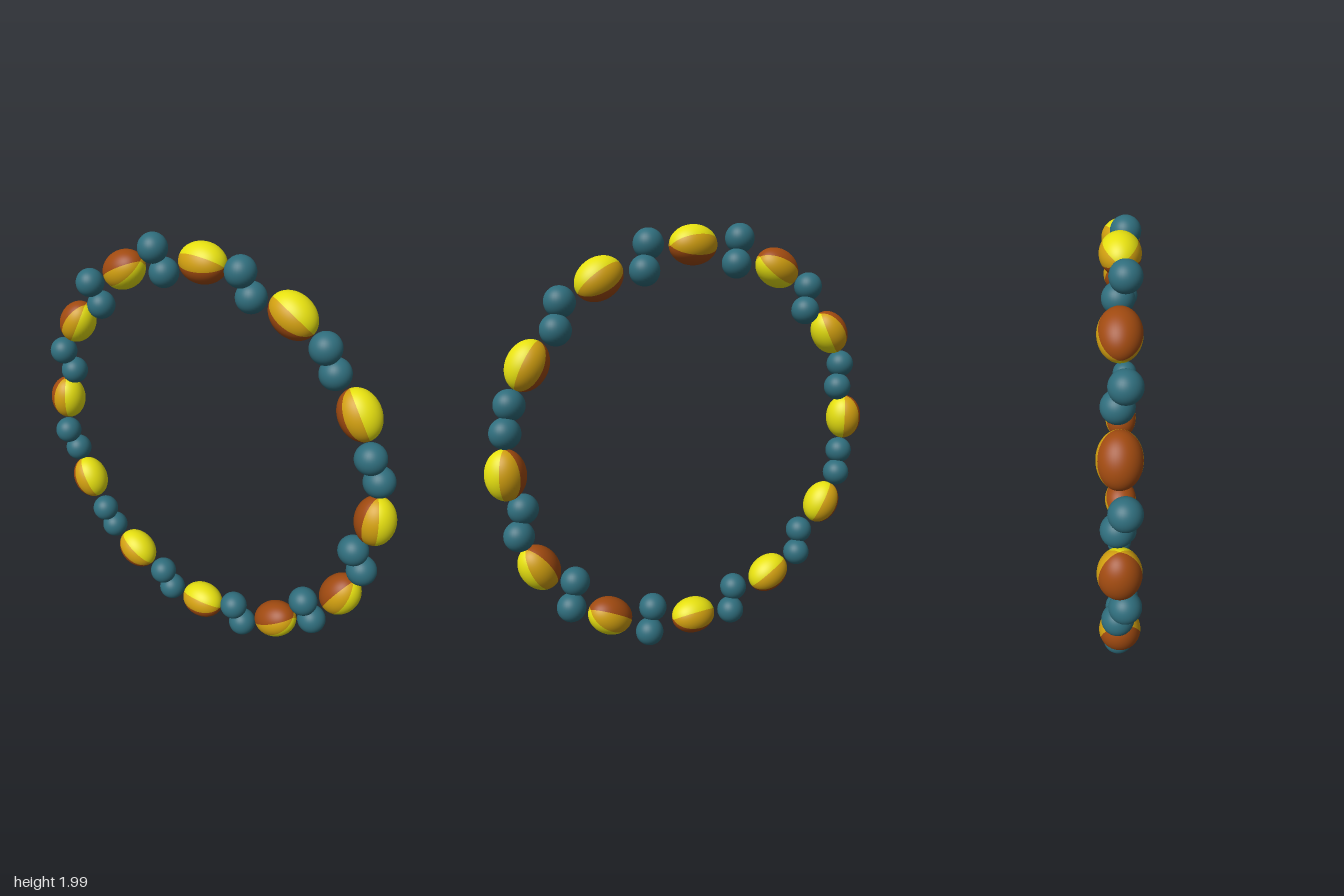
import * as THREE from 'three';

const mat = (name, color) => {
  const m = new THREE.MeshStandardMaterial({ color });
  m.name = name;
  return m;
};

export function createModel() {
  const yellow = mat('yellow', 0xe6e010);
  const ochre = mat('ochre', 0xd2a010);
  const brown = mat('brown', 0xa04a10);
  const teal = mat('teal', 0x2f6d7c);

  const model = new THREE.Group();
  model.name = 'beadRing';
  const centreY = 1.005;
  const rad = THREE.MathUtils.degToRad;

  // Lengthwise colour segments of a large bead: name, material, start and end in degrees
  const segments = [
    ['yellowSegment', yellow, 125, 235],
    ['frontOchreSegment', ochre, 80, 125],
    ['backOchreSegment', ochre, 235, 295],
    ['brownSegment', brown, 295, 440],
  ].map(([name, material, from, to]) => {
    const geometry = new THREE.SphereGeometry(1, Math.round((to - from) / 7), 32, rad(from), rad(to - from));
    geometry.scale(0.088, 0.112, 0.088);
    return { name, material, geometry };
  });

  // Twelve oval beads, long axis along the ring; the left half is turned by 180 degrees
  for (let i = 0; i < 12; i++) {
    const deg = 90 - i * 30;
    const bead = new THREE.Group();
    bead.name = 'ovalBead';
    for (const { name, material, geometry } of segments) {
      const mesh = new THREE.Mesh(geometry, material);
      mesh.name = name;
      bead.add(mesh);
    }
    bead.position.set(0.905 * Math.cos(rad(deg)), centreY + 0.905 * Math.sin(rad(deg)), 0);
    bead.rotation.z = rad(deg > -90 ? deg : deg + 180);
    model.add(bead);
  }

  // Pairs of small round beads between the oval ones, at slightly uneven radii
  const ball = new THREE.SphereGeometry(0.067, 32, 24);
  const radii = [0.895, 0.911, 0.915, 0.882, 0.889, 0.897, 0.905, 0.909, 0.915, 0.892, 0.898, 0.905];
  radii.forEach((r, i) => {
    const a = rad(75.2 - i * 30);
    const pair = new THREE.Group();
    pair.name = 'roundBeadPair';
    pair.position.set(r * Math.cos(a), centreY + r * Math.sin(a), 0);
    for (const [name, x, y, z] of [['upperRoundBead', -0.02, 0.051, 0.022], ['lowerRoundBead', 0.015, -0.058, -0.008]]) {
      const mesh = new THREE.Mesh(ball, teal);
      mesh.name = name;
      mesh.position.set(x, y, z);
      pair.add(mesh);
    }
    model.add(pair);
  });

  return model;
}
